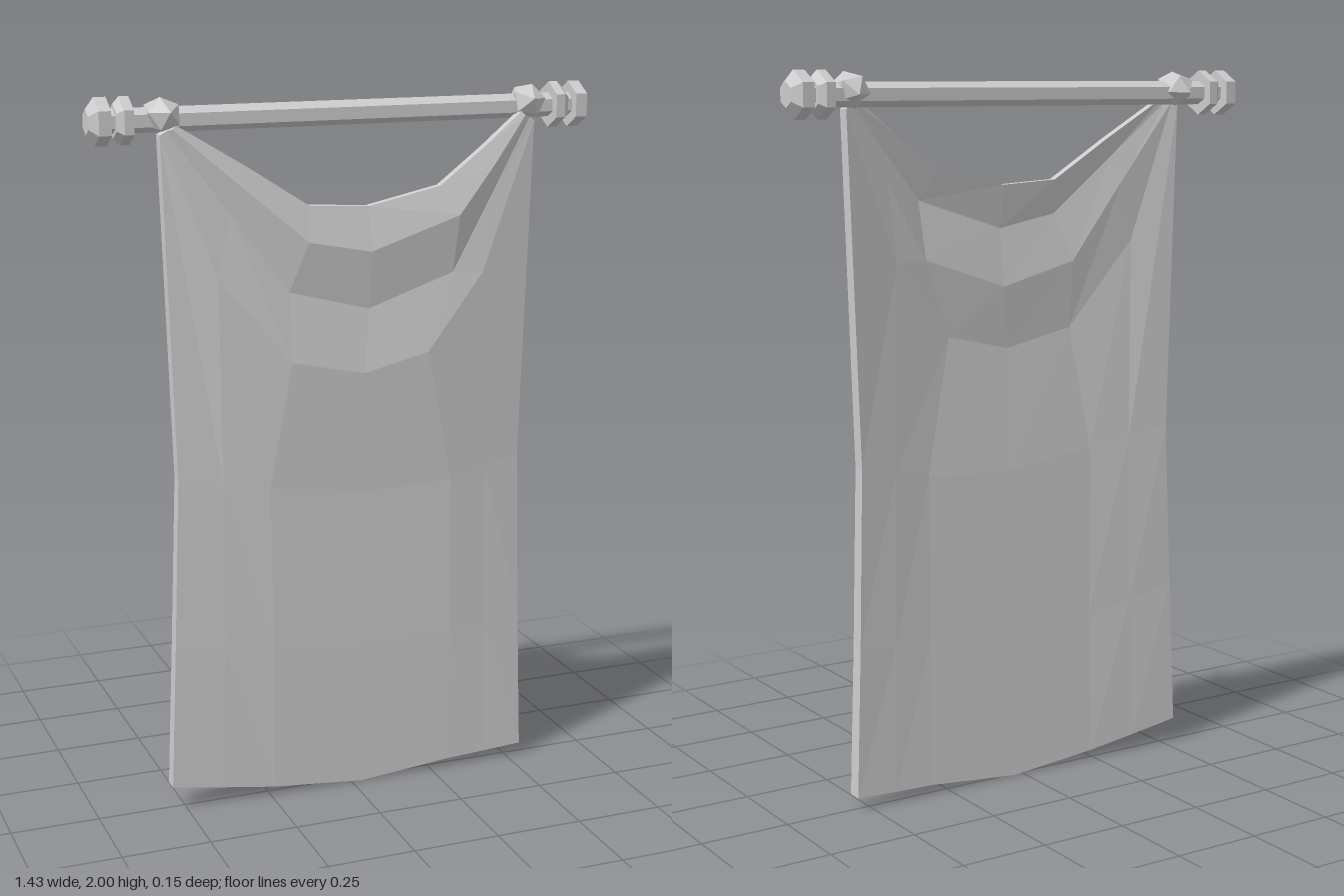
import * as THREE from 'three';

const material = new THREE.MeshStandardMaterial({ color: 0xcccccc, flatShading: true, side: THREE.DoubleSide });
const POLE_Y = 1.937, POLE_Z = -0.013;

// Cloth rows from the swagged top edge to the hem.
// p: seven x,y pairs from right to left; z: depth at the side, shoulder and middle; back: rear depth shift.
const ROWS = [
  { p: [-0.49, 1.925, -0.30, 1.81, -0.13, 1.70, 0.04, 1.69, 0.25, 1.735, 0.38, 1.83, 0.50, 1.925], z: [0.03, 0.04, 0.05], back: 0.025 },
  { p: [-0.50, 1.915, -0.32, 1.76, -0.14, 1.605, 0.04, 1.57, 0.30, 1.655, 0.41, 1.785, 0.51, 1.915], z: [0.035, 0.055, 0.074], back: 0.03 },
  { p: [-0.515, 1.91, -0.35, 1.69, -0.19, 1.47, 0.04, 1.41, 0.29, 1.495, 0.41, 1.705, 0.525, 1.91], z: [0.03, 0.041, 0.052], back: 0.03 },
  { p: [-0.533, 1.90, -0.39, 1.52, -0.19, 1.28, 0.02, 1.235, 0.21, 1.28, 0.38, 1.49, 0.54, 1.90], z: [0.03, 0.055, 0.074], back: 0.035 },
  { p: [-0.505, 0.97, -0.38, 0.95, -0.25, 0.93, 0.03, 0.89, 0.29, 0.90, 0.40, 0.925, 0.51, 0.95], z: [0.03, 0.042, 0.054], back: 0.037 },
  { p: [-0.523, 0.49, -0.38, 0.46, -0.24, 0.44, 0.03, 0.42, 0.30, 0.43, 0.41, 0.445, 0.525, 0.46], z: [0.028, 0.035, 0.042], back: 0.04 },
  { p: [-0.54, 0.07, -0.39, 0.047, -0.24, 0.025, 0.03, 0.0, 0.30, 0.025, 0.42, 0.03, 0.542, 0.036], z: [0.025, 0.027, 0.03], back: 0.042 },
];

function clothGeometry() {
  const cols = 7, last = ROWS.length - 1;
  const positions = [];
  const point = (r, c, rear) => {
    const { p, z, back } = ROWS[r];
    const depth = z[Math.min(c, cols - 1 - c, 2)];
    return [p[c * 2], p[c * 2 + 1], depth - (rear ? back : 0)];
  };
  const quad = (a, b, c, d) => positions.push(...a, ...b, ...c, ...a, ...c, ...d);

  for (let r = 0; r < last; r++) {
    for (let c = 0; c < cols - 1; c++) {
      quad(point(r, c), point(r + 1, c), point(r + 1, c + 1), point(r, c + 1));
      quad(point(r, c, true), point(r, c + 1, true), point(r + 1, c + 1, true), point(r + 1, c, true));
    }
    // side edges
    const e = cols - 1;
    quad(point(r, 0), point(r, 0, true), point(r + 1, 0, true), point(r + 1, 0));
    quad(point(r, e), point(r + 1, e), point(r + 1, e, true), point(r, e, true));
  }
  // top edge and hem
  for (let c = 0; c < cols - 1; c++) {
    quad(point(0, c), point(0, c + 1), point(0, c + 1, true), point(0, c, true));
    quad(point(last, c), point(last, c, true), point(last, c + 1, true), point(last, c + 1));
  }
  const geometry = new THREE.BufferGeometry();
  geometry.setAttribute('position', new THREE.Float32BufferAttribute(positions, 3));
  geometry.computeVertexNormals();
  return geometry;
}

// Hexagonal turned piece lying along x, with a ridge on top.
function turned(name, profile) {
  const points = profile.map(([x, r]) => new THREE.Vector2(r, x));
  const geometry = new THREE.LatheGeometry(points, 6, Math.PI / 2);
  geometry.rotateZ(-Math.PI / 2);
  const mesh = new THREE.Mesh(geometry, material);
  mesh.name = name;
  mesh.position.set(0, POLE_Y, POLE_Z);
  return mesh;
}

export function createModel() {
  const group = new THREE.Group();
  group.name = 'hangingBanner';

  group.add(turned('pole', [[-0.67, 0], [-0.67, 0.033], [0.67, 0.033], [0.67, 0]]));

  // Finials: a bevelled collar and end cap on each end of the pole
  for (const side of [-1, 1]) {
    const label = side > 0 ? 'left' : 'right';
    const collar = turned(label + 'Collar', [[0.602, 0.03], [0.602, 0.063], [0.628, 0.063], [0.645, 0.045], [0.645, 0.03]]);
    const cap = turned(label + 'EndCap', [[0.662, 0.03], [0.662, 0.063], [0.695, 0.063], [0.717, 0.034], [0.717, 0]]);
    for (const part of [collar, cap]) {
      part.rotation.y = side > 0 ? 0 : Math.PI;
      group.add(part);
    }

    // Knot of cloth gathered around the pole
    const knotGeometry = new THREE.IcosahedronGeometry(1, 0);
    knotGeometry.rotateX(0.3).rotateZ(side * 0.4);
    knotGeometry.scale(0.052, 0.05, side > 0 ? 0.066 : 0.073);
    const knot = new THREE.Mesh(knotGeometry, material);
    knot.name = label + 'Knot';
    knot.position.set(side > 0 ? 0.532 : -0.516, 1.949, -0.009);
    group.add(knot);
  }

  const cloth = new THREE.Mesh(clothGeometry(), material);
  cloth.name = 'cloth';
  group.add(cloth);

  return group;
}
